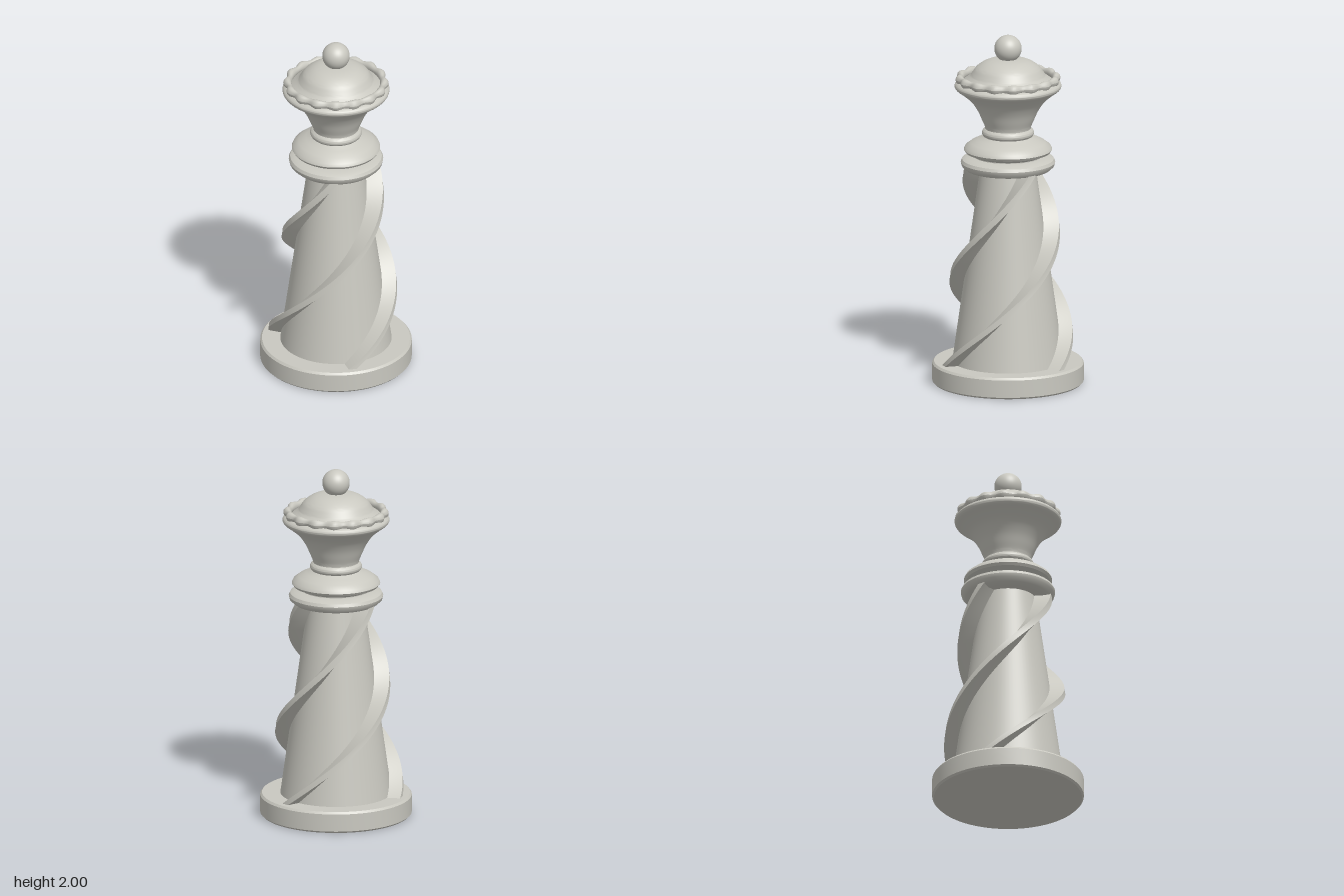
import * as THREE from 'three';
import { toCreasedNormals } from 'three/addons/utils/BufferGeometryUtils.js';

const SEGMENTS = 72;

export function createModel() {
  const group = new THREE.Group();
  const stone = new THREE.MeshStandardMaterial({ color: 0xc9c8c0 });
  stone.name = 'warm grey stone';

  const add = (name, geometry) => {
    const mesh = new THREE.Mesh(geometry, stone);
    mesh.name = name;
    group.add(mesh);
    return mesh;
  };

  // Turned part from [radius, y] points listed bottom to top
  const turned = (name, pairs, smooth = false) => {
    let points = pairs.map(([r, y]) => new THREE.Vector2(r, y));
    if (smooth) points = new THREE.SplineCurve(points).getPoints(pairs.length * 4);
    points.forEach((p) => { p.x = Math.max(p.x, 0); });
    return add(name, toCreasedNormals(new THREE.LatheGeometry(points, SEGMENTS), 0.6));
  };

  // Round base and tapered column
  turned('base', [[0, 0], [0.415, 0], [0.425, 0.01], [0.425, 0.11], [0.415, 0.122], [0, 0.122]]);
  turned('column', [[0.313, 0.115], [0.155, 1.24]]);

  // Three fins spiralling up the column
  const columnRadius = (y) => 0.313 - (y - 0.115) * 0.14;
  const finRadius = (y) => 0.385 - (y - 0.12) * 0.125;
  for (let i = 0; i < 3; i++) {
    add('spiralFin' + (i + 1), finGeometry(columnRadius, finRadius, -i * Math.PI * 2 / 3));
  }

  // Collars under the head
  turned('lowerCollar', [[0, 1.222], [0.2, 1.222], [0.238, 1.23], [0.26, 1.25], [0.265, 1.27],
    [0.257, 1.287], [0.235, 1.298], [0.19, 1.303], [0.19, 1.32]]);
  turned('upperCollar', [[0.185, 1.305], [0.21, 1.317], [0.238, 1.328], [0.248, 1.343], [0.24, 1.36],
    [0.21, 1.383], [0.17, 1.403], [0.14, 1.415], [0.125, 1.425]]);
  turned('neckBead', [[0.125, 1.412], [0.14, 1.423], [0.146, 1.438], [0.14, 1.454], [0.125, 1.465]], true);

  // Flared head
  turned('head', [[0.127, 1.45], [0.13, 1.475], [0.147, 1.515], [0.172, 1.57], [0.21, 1.625],
    [0.26, 1.668], [0.29, 1.69], [0.3, 1.708], [0.292, 1.724], [0.27, 1.735], [0.24, 1.738]], true);

  // Scalloped crown rim: a torus swelling and shrinking around its ring
  const rim = new THREE.TorusGeometry(0.268, 0.02, 12, 192);
  rim.rotateX(-Math.PI / 2);
  const pos = rim.attributes.position;
  for (let i = 0; i < pos.count; i++) {
    const x = pos.getX(i), z = pos.getZ(i);
    const r = Math.hypot(x, z);
    const wave = Math.cos(16 * Math.atan2(x, z));
    const newR = 0.268 + 0.004 * wave + (r - 0.268) * (1 + 0.2 * wave);
    pos.setXYZ(i, x / r * newR, 1.749 + pos.getY(i) * (1.2 + 0.2 * wave), z / r * newR);
  }
  rim.computeVertexNormals();
  add('crownRim', rim);

  // Dome and finial ball
  turned('dome', [[0.255, 1.735], [0.215, 1.765], [0.2, 1.785], [0.178, 1.815], [0.14, 1.842],
    [0.1, 1.857], [0.05, 1.864], [0, 1.866]], true);
  add('finialBall', new THREE.SphereGeometry(0.077, 40, 28)).position.y = 1.923;

  return group;
}

// Fin swept upward from four-cornered cross-sections
function finGeometry(columnRadius, finRadius, offset) {
  const steps = 80, y0 = 0.11, y1 = 1.25;
  const positions = [], index = [];
  for (let s = 0; s <= steps; s++) {
    const y = y0 + (y1 - y0) * s / steps;
    const angle = (y - 0.16) * 3.49 + offset;
    const inner = columnRadius(y) - 0.02, outer = finRadius(y);
    for (const [u, r] of [[-0.032, inner], [-0.023, outer], [0.023, outer], [0.032, inner]]) {
      positions.push(r * Math.sin(angle) + u * Math.cos(angle), y,
        r * Math.cos(angle) - u * Math.sin(angle));
    }
    if (s === steps) break;
    for (let k = 0; k < 4; k++) {
      const a = s * 4 + k, b = s * 4 + (k + 1) % 4;
      index.push(a, b, b + 4, a, b + 4, a + 4);
    }
  }
  const t = steps * 4;
  index.push(0, 2, 1, 0, 3, 2, t, t + 1, t + 2, t, t + 2, t + 3);
  const geometry = new THREE.BufferGeometry();
  geometry.setAttribute('position', new THREE.Float32BufferAttribute(positions, 3));
  geometry.setIndex(index);
  return toCreasedNormals(geometry, 0.6);
}
